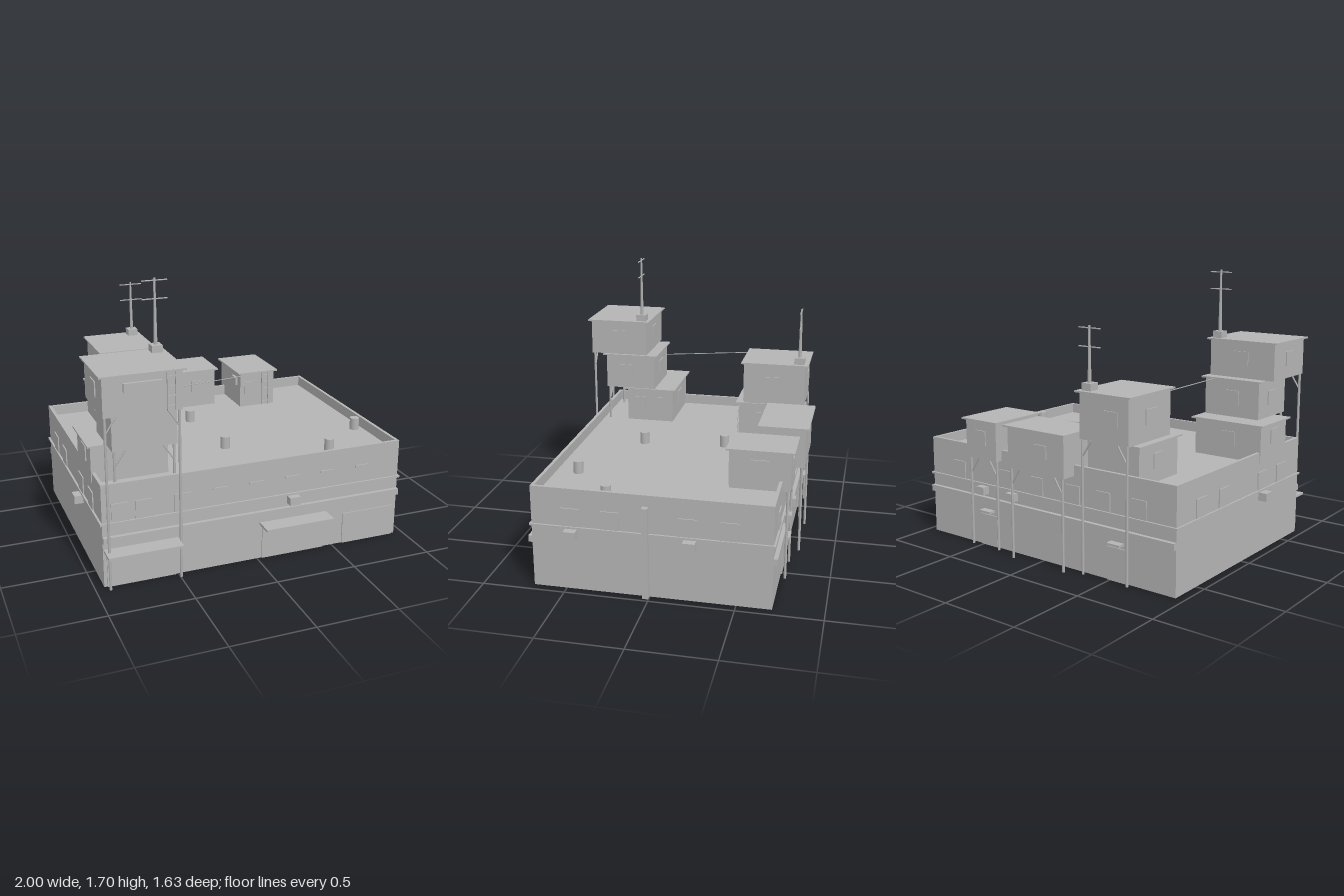
import * as THREE from 'three';

export function createModel() {
  const model = new THREE.Group();
  const concrete = new THREE.MeshStandardMaterial({ color: 0xb4b4b4 });
  concrete.name = 'concrete grey';

  function add(name, geometry, parent = model) {
    const mesh = new THREE.Mesh(geometry, concrete);
    mesh.name = name;
    parent.add(mesh);
    return mesh;
  }
  // Box given by its limits on each axis
  function box(name, x0, x1, y0, y1, z0, z1, parent) {
    const mesh = add(name, new THREE.BoxGeometry(x1 - x0, y1 - y0, z1 - z0), parent);
    mesh.position.set((x0 + x1) / 2, (y0 + y1) / 2, (z0 + z1) / 2);
    return mesh;
  }
  // Straight round bar between two points
  function bar(name, a, b, r, parent, r2 = r, sides = 6) {
    const p = new THREE.Vector3(...a), q = new THREE.Vector3(...b);
    const mesh = add(name, new THREE.CylinderGeometry(r2, r, p.distanceTo(q), sides), parent);
    mesh.position.copy(p).lerp(q, 0.5);
    mesh.quaternion.setFromUnitVectors(new THREE.Vector3(0, 1, 0), q.sub(p).normalize());
    return mesh;
  }
  // Thin plates on a wall facing along x or z (side is +1 or -1)
  const T = 0.007;
  function plateZ(name, x, y, z, w, h, side, parent) {
    return box(name, x - w / 2, x + w / 2, y - h / 2, y + h / 2, Math.min(z, z + side * T), Math.max(z, z + side * T), parent);
  }
  function plateX(name, x, y, z, w, h, side, parent) {
    return box(name, Math.min(x, x + side * T), Math.max(x, x + side * T), y - h / 2, y + h / 2, z - w / 2, z + w / 2, parent);
  }

  // Main block with sunken roof and parapet
  const X = 0.945, ZF = 0.70, ZB = -0.705, ROOF = 0.565, TOP = 0.63, W = 0.02;
  box('mainBlock', -X, X, 0, ROOF, ZB, ZF);
  box('parapetFront', -X, X, ROOF, TOP, ZF - W, ZF);
  box('parapetBack', -X, X, ROOF, TOP, ZB, ZB + W);
  for (const s of [-1, 1]) {
    const c = s * (X - W / 2);
    box('parapetSide', c - W / 2, c + W / 2, ROOF, TOP, ZB + W, ZF - W);
  }
  // Ledge all round, and a thicker band on front and back
  box('ledge', -X - 0.012, X + 0.012, 0.386, 0.398, ZB - 0.012, ZF + 0.012);
  box('bandFront', -X, X, 0.275, 0.315, ZF, ZF + 0.024);
  box('bandBack', -X, X, 0.275, 0.315, ZB - 0.024, ZB);

  // Shop fronts with awnings
  for (const x of [-0.72, 0.235]) {
    box('awning', x - 0.22, x + 0.22, 0.222, 0.236, ZF, 0.812);
    plateZ('shopShutter', x, 0.1, ZF, 0.41, 0.2, 1);
  }
  plateZ('garageShutter', 0.745, 0.1, ZF, 0.35, 0.2, 1);
  // Back doors with small canopies
  for (const x of [0.45, -0.55]) {
    plateZ('backDoor', x, 0.1, ZB, 0.14, 0.2, -1);
    box('doorCanopy', x - 0.045, x + 0.045, 0.22, 0.235, ZB - 0.045, ZB);
  }
  // Windows of the main block
  for (const x of [-0.84, -0.7, -0.47]) plateZ('frontWindow', x, 0.455, ZF, 0.1, 0.11, 1);
  for (const x of [-0.235, -0.01, 0.22, 0.45, 0.69]) plateZ('frontSlot', x, 0.503, ZF, 0.09, 0.012, 1);
  for (const x of [-0.7, -0.45, -0.23, 0.05, 0.3, 0.7]) plateZ('backWindow', x, 0.455, ZB, 0.1, 0.11, -1);
  for (const s of [-1, 1])
    for (const z of [0.465, 0.23, -0.22, -0.46]) plateX('sideWindow', s * X, 0.455, z, 0.11, 0.11, s);

  // Air conditioners and the drain pipe
  box('airConditioner', 0.19, 0.26, 0.335, 0.385, ZF, 0.75);
  for (const x of [0.235, 0.48]) box('airConditioner', x - 0.03, x + 0.03, 0.335, 0.385, -0.755, ZB);
  for (const z of [0.46, -0.235]) box('airConditioner', X, 0.997, 0.333, 0.383, z - 0.036, z + 0.036);
  box('airConditioner', -1, -X, 0.333, 0.383, 0.19, 0.262);
  box('drainPipe', X, 0.98, 0, 0.562, 0.003, 0.037);

  // Roof vents
  for (const [x, z] of [[-0.085, -0.25], [-0.04, 0.275], [0.87, 0.27], [0.545, 0.54]]) {
    bar('roofVent', [x, ROOF, z], [x, 0.642, z], 0.03, model, 0.03, 14);
  }

  // Hut: a body with an overhanging roof slab
  function hut(name, x0, x1, y0, y1, z0, z1) {
    const g = new THREE.Group();
    g.name = name;
    model.add(g);
    box('hutBody', x0, x1, y0, y1, z0, z1, g);
    box('hutRoof', x0 - 0.02, x1 + 0.02, y1, y1 + 0.01, z0 - 0.02, z1 + 0.02, g);
    return g;
  }
  function ladder(x, y0, y1, z, parent) {
    const w = 0.024;
    for (const s of [-1, 1]) box('ladderRail', x + s * w - 0.003, x + s * w + 0.003, y0, y1, z, z + 0.01, parent);
    const n = Math.round((y1 - y0) / 0.05);
    for (let i = 0; i < n; i++) {
      const y = y0 + ((i + 0.5) * (y1 - y0)) / n;
      box('ladderRung', x - w, x + w, y - 0.003, y + 0.003, z + 0.002, z + 0.008, parent);
    }
  }
  // Pair of stilts with diagonal braces under a hut edge
  function stilts(xa, xb, y0, y1, z, r = 0.008) {
    for (const [x, s] of [[xa, 1], [xb, -1]]) {
      bar('stilt', [x, y0, z], [x, y1, z], r);
      bar('stiltBrace', [x, y1 - 0.1, z], [x + s * 0.065, y1, z], 0.005);
    }
  }
  function mast(x, z, y0, y1) {
    const g = new THREE.Group();
    g.name = 'antennaMast';
    model.add(g);
    box('mastBase', x - 0.032, x + 0.032, y0, y0 + 0.042, z - 0.033, z + 0.033, g);
    bar('mastPole', [x, y0 + 0.04, z], [x, y1, z], 0.011, g, 0.006);
    for (const d of [0.015, 0.12]) bar('mastCrossbar', [x - 0.075, y1 - d, z], [x + 0.075, y1 - d, z], 0.004, g);
  }

  // Front tower of three stepped huts
  let g = hut('frontTowerLower', -0.95, -0.49, ROOF, 0.788, 0.19, 0.51);
  plateX('window', -0.49, 0.69, 0.28, 0.08, 0.09, 1, g);
  plateX('window', -0.49, 0.69, 0.42, 0.07, 0.09, 1, g);
  plateX('window', -0.95, 0.71, 0.36, 0.1, 0.09, -1, g);
  plateZ('window', -0.72, 0.69, 0.19, 0.1, 0.09, -1, g);
  g = hut('frontTowerMiddle', -0.86, -0.48, 0.798, 1.028, 0.315, 0.655);
  plateX('window', -0.48, 0.92, 0.52, 0.1, 0.09, 1, g);
  plateX('window', -0.86, 0.92, 0.48, 0.1, 0.09, -1, g);
  plateZ('window', -0.67, 0.92, 0.315, 0.1, 0.09, -1, g);
  g = hut('frontTowerUpper', -0.93, -0.48, 1.038, 1.265, 0.37, 0.757);
  plateX('window', -0.48, 1.16, 0.57, 0.1, 0.09, 1, g);
  plateX('window', -0.93, 1.16, 0.57, 0.1, 0.09, -1, g);
  plateZ('window', -0.7, 1.16, 0.37, 0.1, 0.09, -1, g);
  box('frontPanel', -0.815, -0.6, 1.17, 1.225, 0.757, 0.775, g);
  ladder(-0.543, 1.04, 1.265, 0.757, g);
  stilts(-0.918, -0.495, 0, 1.038, 0.743);
  stilts(-0.845, -0.495, ROOF, 0.798, 0.64);
  mast(-0.52, 0.408, 1.275, 1.70);

  // Back tower of two huts, the upper one overhanging the wall
  g = hut('backTowerLower', -0.68, -0.32, ROOF, 0.79, -0.68, -0.305);
  plateX('window', -0.32, 0.69, -0.45, 0.09, 0.09, 1, g);
  plateX('window', -0.68, 0.69, -0.5, 0.09, 0.09, -1, g);
  plateZ('window', -0.55, 0.69, -0.305, 0.09, 0.09, 1, g);
  g = hut('backTowerUpper', -0.65, -0.308, 0.8, 1.068, -0.737, -0.338);
  plateX('window', -0.308, 0.94, -0.53, 0.1, 0.09, 1, g);
  plateX('window', -0.65, 0.94, -0.53, 0.1, 0.09, -1, g);
  plateZ('window', -0.53, 0.94, -0.737, 0.09, 0.09, -1, g);
  ladder(-0.375, 0.8, 1.068, -0.338, g);
  stilts(-0.64, -0.325, 0, 0.8, -0.735);
  mast(-0.348, -0.695, 1.078, 1.44);

  // Wide overhanging hut
  g = hut('wideHut', -0.238, 0.192, ROOF, 0.815, -0.797, -0.522);
  for (const x of [-0.1, 0.06]) plateZ('window', x, 0.71, -0.522, 0.08, 0.08, 1, g);
  plateZ('window', -0.06, 0.7, -0.797, 0.1, 0.08, -1, g);
  plateX('window', 0.192, 0.71, -0.66, 0.09, 0.08, 1, g);
  stilts(-0.215, 0.195 - 0.015, 0, ROOF, -0.78);

  // Narrow overhanging hut
  g = hut('narrowHut', 0.335, 0.585, ROOF, 0.803, -0.752, -0.392);
  plateX('window', 0.585, 0.71, -0.57, 0.11, 0.08, 1, g);
  plateZ('window', 0.46, 0.7, -0.752, 0.08, 0.09, -1, g);
  plateZ('window', 0.4, 0.7, -0.392, 0.07, 0.09, 1, g);
  box('airConditioner', 0.317, 0.335, 0.71, 0.765, -0.51, -0.44, g);
  ladder(0.52, ROOF, 0.803, -0.392, g);
  stilts(0.345, 0.565, 0, ROOF, -0.735);

  // Overhead cables
  bar('cable', [-0.648, 1.055, -0.33], [-0.55, 1.028, 0.315], 0.003);
  bar('cable', [-0.32, 0.785, -0.305], [0.335, 0.785, -0.395], 0.003);

  return model;
}
